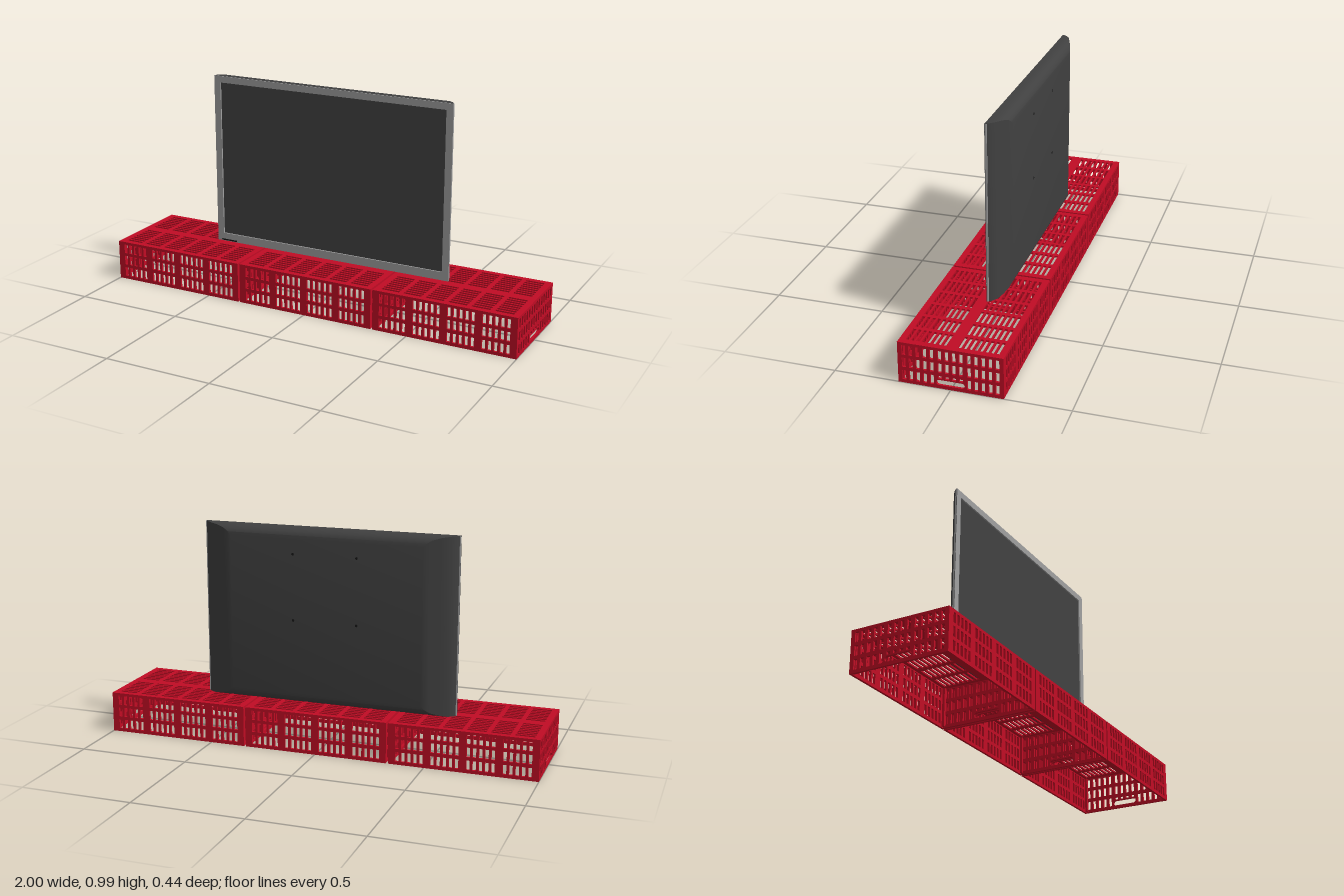
import * as THREE from 'three';
import { toCreasedNormals } from 'three/addons/utils/BufferGeometryUtils.js';

const mat = (name, color) => Object.assign(new THREE.MeshStandardMaterial({ color }), { name });

// Closed rectangular outline centred on (cx, cy); works as a shape or a hole
function rect(path, cx, cy, w, h) {
  path.moveTo(cx - w / 2, cy - h / 2);
  path.lineTo(cx + w / 2, cy - h / 2);
  path.lineTo(cx + w / 2, cy + h / 2);
  path.lineTo(cx - w / 2, cy + h / 2);
  path.closePath();
  return path;
}

const extrude = (shape, depth) =>
  new THREE.ExtrudeGeometry(shape, { depth, bevelEnabled: false, curveSegments: 4 });

// Crate wall: three rows of upright slots, in groups along its length
function wallGeometry(width, height, groups, pitch, handle) {
  const shape = rect(new THREE.Shape(), 0, height / 2, width, height);
  for (const y of [0.036, 0.094, 0.151]) {
    for (const [centre, count] of groups) {
      for (let i = 0; i < count; i++) {
        const x = centre + (i - (count - 1) / 2) * pitch;
        const overHandle = handle && y < 0.05 && Math.abs(x) < 0.07;
        shape.holes.push(overHandle
          ? rect(new THREE.Path(), x, 0.051, 0.016, 0.012)
          : rect(new THREE.Path(), x, y, 0.016, 0.043));
      }
    }
  }
  if (handle) {
    // Grip slot with rounded ends
    const r = 0.012, grip = new THREE.Path();
    grip.absarc(0.048, 0.027, r, -Math.PI / 2, Math.PI / 2);
    grip.absarc(-0.048, 0.027, r, Math.PI / 2, Math.PI * 1.5);
    grip.closePath();
    shape.holes.push(grip);
  }
  return extrude(shape, 0.01);
}

// Slatted crate panel, two halves of six columns
function gridGeometry(width, depth) {
  const shape = rect(new THREE.Shape(), 0, 0, width, depth);
  for (let c = 0; c < 6; c++) {
    for (const side of [-1, 1]) {
      for (let r = 0; r < 8; r++) {
        shape.holes.push(rect(new THREE.Path(),
          (c - 2.5) * 0.104, side * (0.031 + r * 0.0225), 0.085, 0.014));
      }
    }
  }
  return extrude(shape, 0.008).rotateX(-Math.PI / 2);
}

// Television shell: rectangular rings [z, half width, half height] joined front to back
function shellGeometry(rings) {
  const pos = [], index = [];
  for (const [z, w, h] of rings) pos.push(-w, -h, z, w, -h, z, w, h, z, -w, h, z);
  for (let k = 0; k < rings.length - 1; k++) {
    for (let i = 0; i < 4; i++) {
      const a = k * 4 + i, b = k * 4 + (i + 1) % 4;
      index.push(a, a + 4, b, b, a + 4, b + 4);
    }
  }
  const n = (rings.length - 1) * 4;
  index.push(n, n + 3, n + 2, n, n + 2, n + 1);
  const geo = new THREE.BufferGeometry();
  geo.setAttribute('position', new THREE.Float32BufferAttribute(pos, 3));
  geo.setIndex(index);
  return toCreasedNormals(geo, 0.5);
}

export function createModel() {
  const model = new THREE.Group();
  const red = mat('crate red', 0xc00c24);
  const dark = mat('shell charcoal', 0x404040);
  const grey = mat('bezel grey', 0xa0a0a0);
  const screenMat = mat('screen charcoal', 0x424242);
  const black = mat('socket black', 0x151515);

  const add = (parent, name, geo, material, x = 0, y = 0, z = 0) => {
    const mesh = new THREE.Mesh(geo, material);
    mesh.name = name;
    mesh.position.set(x, y, z);
    parent.add(mesh);
    return mesh;
  };

  // Three upturned crates, open at the bottom
  const W = 0.66, H = 0.185, D = 0.444;
  const longWall = wallGeometry(W, H, [-0.237, -0.079, 0.079, 0.237].map((x) => [x, 5]), 0.027, false);
  const endWall = wallGeometry(D - 0.02, H, [[-0.137, 5], [0, 4], [0.137, 5]], 0.0295, true);
  const grid = gridGeometry(W - 0.02, D - 0.02);
  const post = new THREE.BoxGeometry(0.012, H - 0.01, 0.012);
  for (const cx of [-0.67, 0, 0.67]) {
    const crate = new THREE.Group();
    crate.name = 'crate';
    crate.position.x = cx;
    for (const s of [-1, 1]) {
      add(crate, 'longWall', longWall, red, 0, 0, s * (D / 2 - 0.01)).rotation.y = s > 0 ? 0 : Math.PI;
      add(crate, 'endWall', endWall, red, s * (W / 2 - 0.01)).rotation.y = s * Math.PI / 2;
      for (const t of [-1, 1]) {
        add(crate, 'cornerPost', post, red, s * (W / 2 - 0.015), H / 2, t * (D / 2 - 0.015));
      }
    }
    add(crate, 'slattedPanel', grid, red, 0, H - 0.008, 0);
    model.add(crate);
  }

  // Television
  const tv = new THREE.Group();
  tv.name = 'television';
  tv.position.y = 0.585;
  model.add(tv);
  add(tv, 'shell', shellGeometry([
    [-0.018, 0.593, 0.4], [-0.036, 0.583, 0.4], [-0.055, 0.56, 0.399],
    [-0.07, 0.52, 0.393], [-0.082, 0.482, 0.382], [-0.089, 0.46, 0.368], [-0.092, 0.445, 0.352],
  ]), dark);

  const frame = rect(new THREE.Shape(), 0, 0, 1.184, 0.798);
  frame.holes.push(rect(new THREE.Path(), 0, 0.004, 1.12, 0.73));
  add(tv, 'bezel', extrude(frame, 0.01), grey, 0, 0, -0.0275);
  add(tv, 'screen', new THREE.BoxGeometry(1.13, 0.74, 0.004), screenMat, 0, 0.004, -0.026);
  add(tv, 'buttonStrip', new THREE.BoxGeometry(0.08, 0.006, 0.004), black, -0.53, -0.393, -0.017);

  // Four wall mount sockets on the back
  const socket = new THREE.CylinderGeometry(0.006, 0.006, 0.002, 12).rotateX(Math.PI / 2);
  for (const x of [-0.148, 0.148]) {
    for (const y of [-0.015, 0.285]) add(tv, 'mountSocket', socket, black, x, y, -0.092);
  }
  return model;
}
